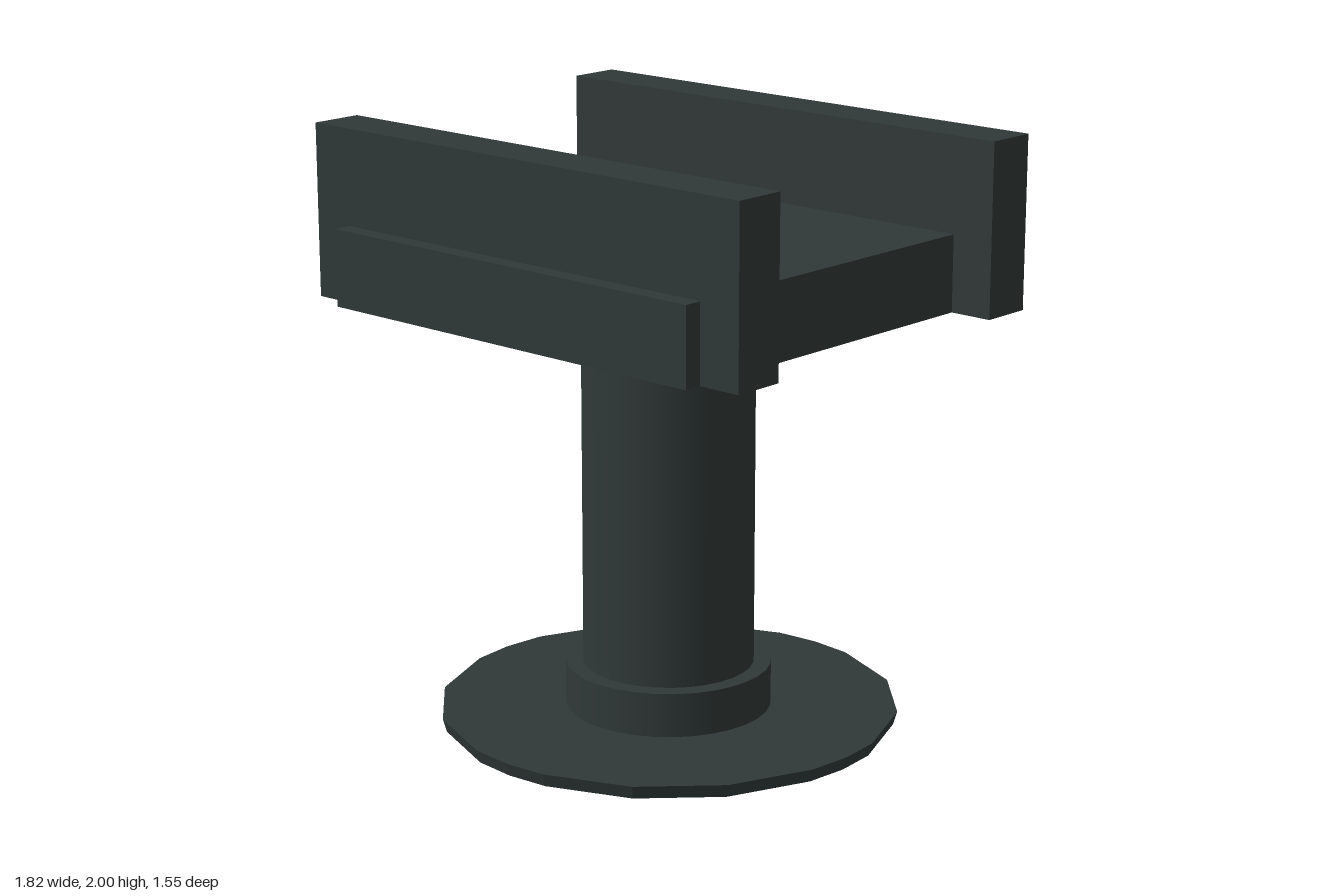
import * as THREE from 'three';

export function createModel() {
  const group = new THREE.Group();
  const darkSteel = new THREE.MeshStandardMaterial({ color: 0x303938 });
  darkSteel.name = 'darkSteel';
  // faceted twin of the same colour for the low-poly foot
  const facetedSteel = darkSteel.clone();
  facetedSteel.flatShading = true;

  const add = (name, geometry, y, z = 0, material = darkSteel) => {
    const mesh = new THREE.Mesh(geometry, material);
    mesh.name = name;
    mesh.position.set(0, y, z);
    group.add(mesh);
  };
  const box = (name, w, y0, y1, d, z = 0) =>
    add(name, new THREE.BoxGeometry(w, y1 - y0, d), (y0 + y1) / 2, z);
  const round = (name, r, y0, y1) =>
    add(name, new THREE.CylinderGeometry(r, r, y1 - y0, 32), (y0 + y1) / 2);

  // Foot plate: 20 sides, with narrower facets next to each axis
  const foot = new THREE.CylinderGeometry(0.773, 0.76, 0.045, 20);
  const steps = [0, 11.25, 33.75, 56.25, 78.75];
  const p = foot.attributes.position;
  for (let i = 0; i < p.count; i++) {
    const r = Math.hypot(p.getX(i), p.getZ(i));
    if (r < 0.01) continue;
    const k = (Math.round(Math.atan2(p.getX(i), p.getZ(i)) / (Math.PI / 10)) + 20) % 20;
    const a = THREE.MathUtils.degToRad(Math.floor(k / 5) * 90 + steps[k % 5]);
    p.setXYZ(i, r * Math.sin(a), p.getY(i), r * Math.cos(a));
  }
  foot.computeVertexNormals();
  add('footPlate', foot, 0.0225, 0, facetedSteel);

  // Post with its lower and upper collars
  round('lowerCollar', 0.345, 0.04, 0.195);
  round('post', 0.287, 0.19, 1.34);
  round('upperCollar', 0.377, 1.33, 1.425);

  // Cradle: flat slab with two upright rails
  box('cradleSlab', 1.52, 1.423, 1.68, 1.52);
  for (const side of [1, -1]) {
    box(side > 0 ? 'frontRail' : 'backRail', 1.82, 1.423, 2, 0.18, side * 0.608);
  }
  return group;
}
